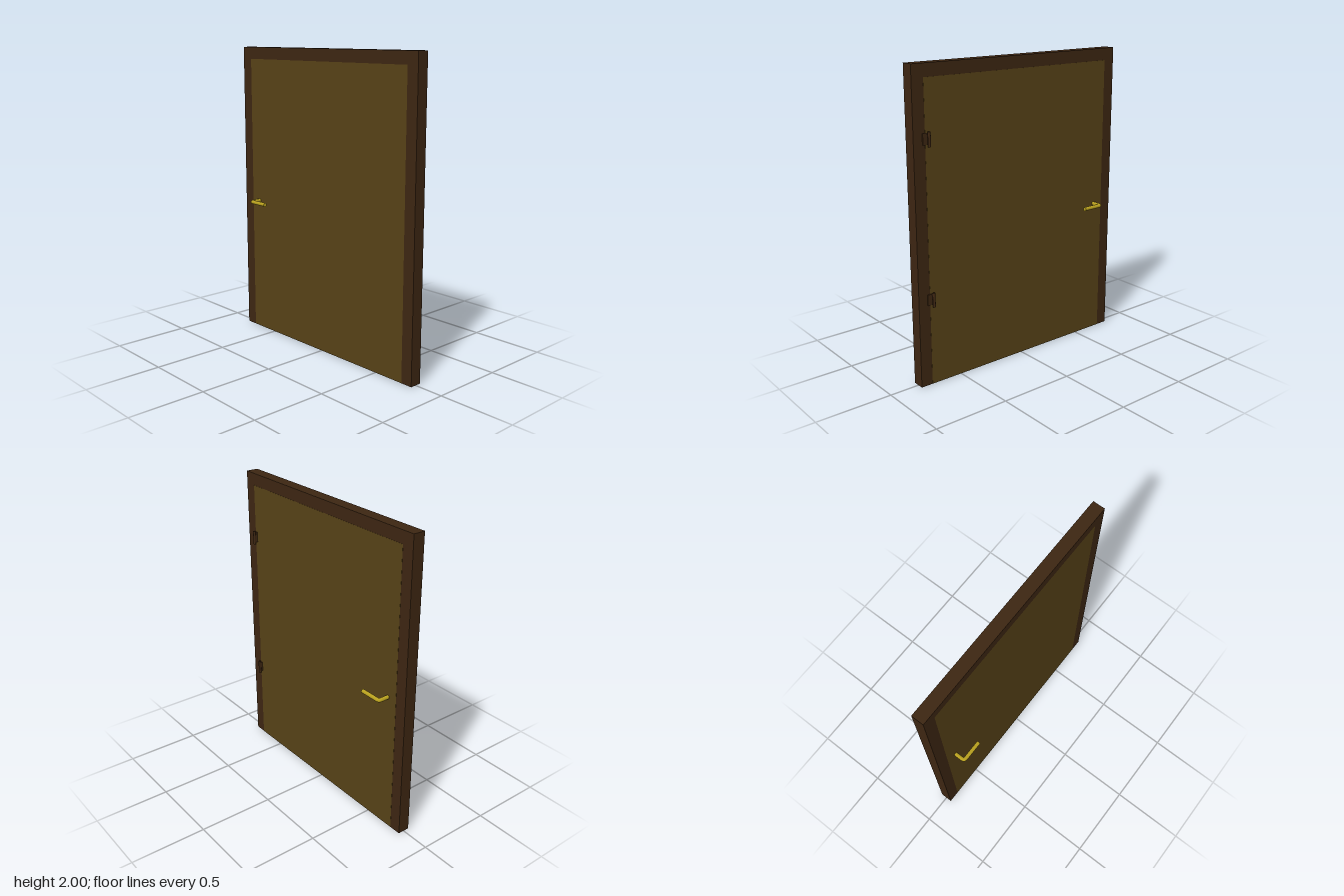
import * as THREE from 'three';

export function createModel() {
  const model = new THREE.Group();
  const wood = new THREE.MeshStandardMaterial({ color: 0x3d2612 });
  const panelWood = new THREE.MeshStandardMaterial({ color: 0x574217 });
  const brass = new THREE.MeshStandardMaterial({ color: 0xb8a01e });

  const add = (parent, name, geometry, material, x = 0, y = 0, z = 0) => {
    const mesh = new THREE.Mesh(geometry, material);
    mesh.name = name;
    mesh.position.set(x, y, z);
    parent.add(mesh);
    return mesh;
  };

  // Door frame: one U-shaped outline, open at the floor
  const outline = new THREE.Shape([
    [-0.8, 0], [-0.72, 0], [-0.72, 1.92], [0.72, 1.92],
    [0.72, 0], [0.8, 0], [0.8, 2], [-0.8, 2],
  ].map(([x, y]) => new THREE.Vector2(x, y)));
  add(model, 'doorFrame',
    new THREE.ExtrudeGeometry(outline, { depth: 0.08, bevelEnabled: false }), wood, 0, 0, -0.04);

  // Door leaf, flush with the frame
  add(model, 'doorPanel', new THREE.BoxGeometry(1.44, 1.92, 0.081), panelWood, 0, 0.96, -0.0005);

  // Handle: a bar through the leaf with a grip turned inward on each side
  const handle = new THREE.Group();
  handle.name = 'handle';
  handle.position.y = 0.935;
  model.add(handle);
  const r = 0.013, xBar = -0.648, xEnd = -0.5, zGrip = 0.111, bend = 0.018;
  const P = (x, z) => new THREE.Vector3(x, 0, z);
  const rod = (name, length) =>
    add(handle, name, new THREE.CylinderGeometry(r, r, length, 20), brass);
  rod('handleSpindle', 2 * (zGrip - bend)).rotation.x = Math.PI / 2;
  handle.children[0].position.x = xBar;
  for (const s of [1, -1]) {
    const length = xEnd - xBar - bend;
    const grip = rod('handleGrip', length);
    grip.rotation.z = Math.PI / 2;
    grip.position.set(xEnd - length / 2, 0, s * zGrip);
    const elbow = new THREE.QuadraticBezierCurve3(
      P(xBar, s * (zGrip - bend)), P(xBar, s * zGrip), P(xBar + bend, s * zGrip));
    add(handle, 'handleElbow', new THREE.TubeGeometry(elbow, 8, r, 20), brass);
  }

  // Hinges on the back: pin, short web and a plate on the jamb
  for (const y of [0.57, 1.565]) {
    const hinge = new THREE.Group();
    hinge.name = 'hinge';
    hinge.position.set(0.705, y, 0);
    add(hinge, 'hingePin', new THREE.CylinderGeometry(0.009, 0.009, 0.09, 16), wood, 0, 0, -0.063);
    add(hinge, 'hingeWeb', new THREE.BoxGeometry(0.006, 0.07, 0.024), wood, 0, 0, -0.051);
    add(hinge, 'hingePlate', new THREE.BoxGeometry(0.036, 0.07, 0.008), wood, 0.016, 0, -0.043);
    model.add(hinge);
  }

  return model;
}
